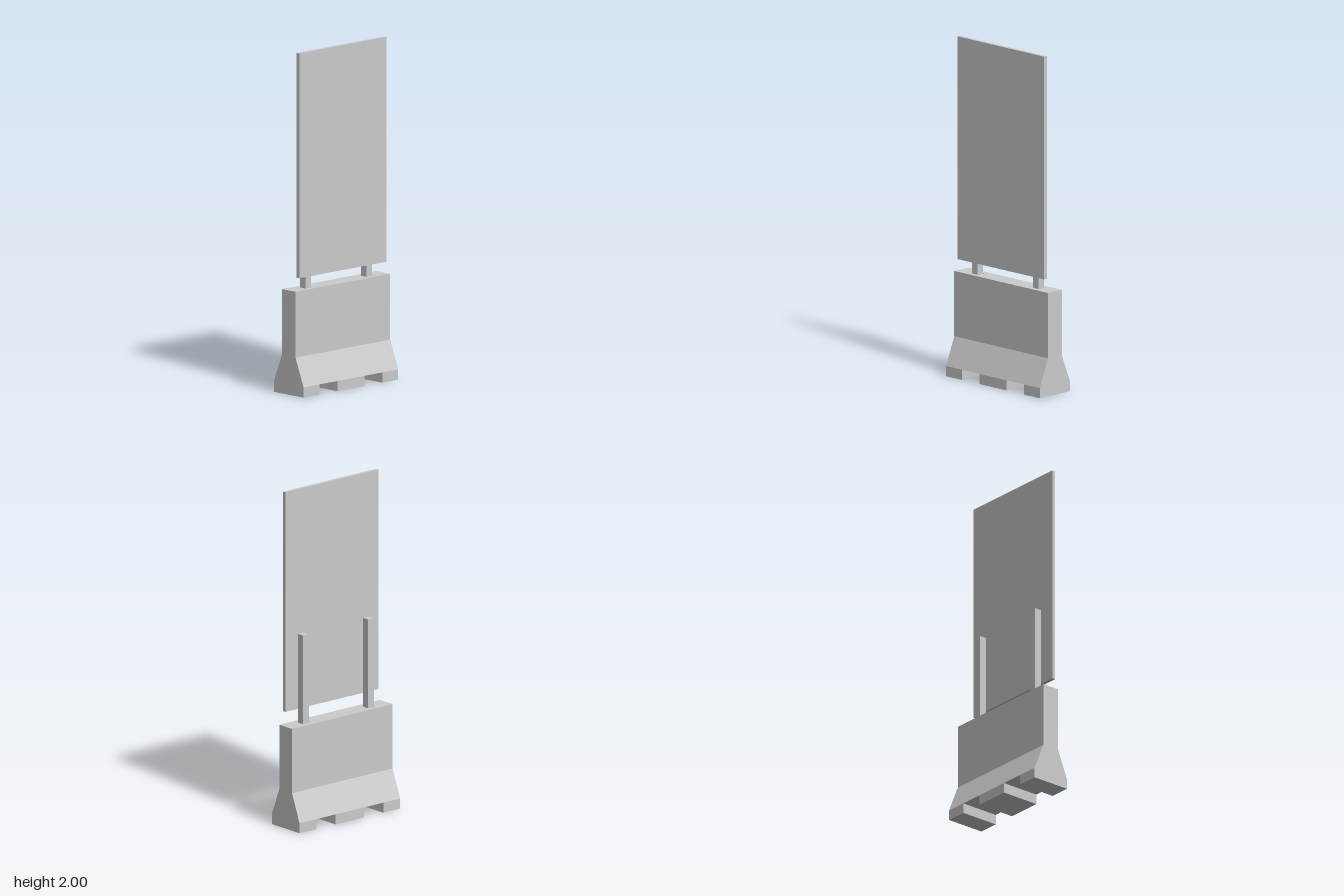
import * as THREE from 'three';

const material = new THREE.MeshStandardMaterial({ color: 0xcccccc, flatShading: true });

function add(group, name, geometry, x = 0, y = 0, z = 0) {
  const mesh = new THREE.Mesh(geometry, material);
  mesh.name = name;
  mesh.position.set(x, y, z);
  group.add(mesh);
}

// Closed rectangular path centred on (x, 0)
function rectangle(path, w, h, x = 0) {
  path.moveTo(x - w / 2, -h / 2);
  path.lineTo(x + w / 2, -h / 2);
  path.lineTo(x + w / 2, h / 2);
  path.lineTo(x - w / 2, h / 2);
  path.closePath();
  return path;
}

export function createModel() {
  const model = new THREE.Group();
  const width = 0.76;
  const baseHalf = 0.122, topHalf = 0.056;
  const footTop = 0.06, slopeTop = 0.225, barrierTop = 0.61, postTop = 1.14;
  const postX = 0.246;

  const barrier = new THREE.Group();
  barrier.name = 'barrier';
  model.add(barrier);

  // Three feet, with two forklift slots between them
  for (const [x0, x1] of [[-0.38, -0.253], [-0.108, 0.108], [0.253, 0.38]]) {
    add(barrier, 'foot', new THREE.BoxGeometry(x1 - x0, footTop, baseHalf * 2), (x0 + x1) / 2, footTop / 2);
  }

  // Sloping lower body, extruded along x
  const slope = new THREE.Shape([
    new THREE.Vector2(-baseHalf, footTop),
    new THREE.Vector2(baseHalf, footTop),
    new THREE.Vector2(topHalf, slopeTop),
    new THREE.Vector2(-topHalf, slopeTop),
  ]);
  const slopeGeometry = new THREE.ExtrudeGeometry(slope, { depth: width, bevelEnabled: false });
  slopeGeometry.translate(0, 0, -width / 2).rotateY(Math.PI / 2);
  add(barrier, 'slopedBody', slopeGeometry);

  // Upright wall with two square post sockets, extruded upwards
  const wall = rectangle(new THREE.Shape(), width, topHalf * 2);
  for (const side of [-1, 1]) wall.holes.push(rectangle(new THREE.Path(), 0.052, 0.052, side * postX));
  const wallGeometry = new THREE.ExtrudeGeometry(wall, { depth: barrierTop - slopeTop, bevelEnabled: false });
  wallGeometry.rotateX(-Math.PI / 2);
  add(barrier, 'upperWall', wallGeometry, 0, slopeTop);

  // Posts standing in the sockets
  for (const side of [-1, 1]) {
    add(model, side > 0 ? 'leftPost' : 'rightPost',
      new THREE.BoxGeometry(0.045, postTop - slopeTop, 0.045), side * postX, (postTop + slopeTop) / 2);
  }

  // Flat panel in front of the posts
  add(model, 'panel', new THREE.BoxGeometry(0.702, 1.315, 0.021), 0, 1.3425, 0.047);

  return model;
}
